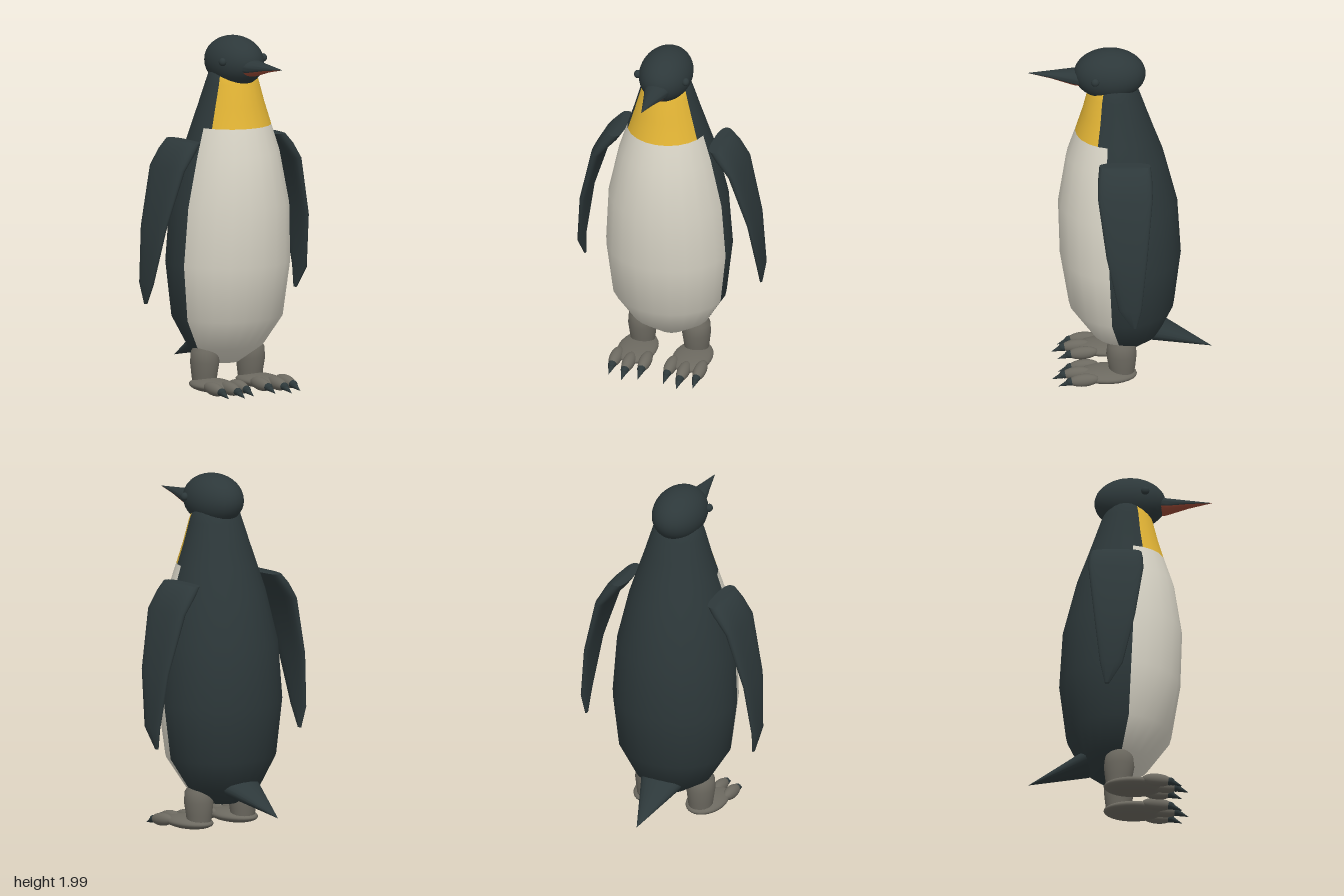
import * as THREE from 'three';
import { toCreasedNormals } from 'three/addons/utils/BufferGeometryUtils.js';

const material = (name, color) => {
  const m = new THREE.MeshStandardMaterial({ color });
  m.name = name;
  return m;
};

// Angles around a section in degrees: 0 = +x, 90 = +z
const EVEN = Array.from({ length: 24 }, (_, i) => i * 15);
const FRONT = [11, 26, 42, 58, 74, 90, 106, 122, 138, 154, 169];
const BODY = [...FRONT, ...Array.from({ length: 13 }, (_, i) => 169 + (i + 1) * 202 / 14)];

// Skins rows of [y, centreX, halfWidth, zFront, zBack], lowest first.
// pick(row, angle) gives the material index of each patch; power < 1 squares the section.
function loft(rows, { angles = EVEN, pick = () => 0, power = 1, crease = 0.9 } = {}) {
  const n = angles.length, pos = [], lists = [];
  const bend = v => Math.sign(v) * Math.abs(v) ** power;
  for (const [y, cx, hx, zf, zb] of rows) {
    for (const deg of angles) {
      const a = THREE.MathUtils.degToRad(deg);
      pos.push(cx + hx * bend(Math.cos(a)), y, (zf + zb) / 2 + (zf - zb) / 2 * bend(Math.sin(a)));
    }
  }
  const last = rows.length - 1, bottom = rows.length * n, top = bottom + 1;
  for (const r of [rows[0], rows[last]]) pos.push(r[1], r[0], (r[3] + r[4]) / 2);
  for (let j = 0; j < n; j++) {
    const k = (j + 1) % n;
    const mid = (angles[j] + (k ? angles[k] : angles[0] + 360)) / 2;
    const add = (row, ...ids) => (lists[pick(row, mid)] ??= []).push(...ids);
    add(0, bottom, j, k);
    for (let i = 0; i < last; i++) {
      const a = i * n + j, b = i * n + k;
      add(i, a, a + n, b, a + n, b + n, b);
    }
    add(last - 1, top, last * n + k, last * n + j);
  }
  const g = new THREE.BufferGeometry();
  g.setAttribute('position', new THREE.Float32BufferAttribute(pos, 3));
  g.setIndex(lists.flat());
  let start = 0;
  lists.forEach((list, m) => {
    g.addGroup(start, list.length, m);
    start += list.length;
  });
  return toCreasedNormals(g, crease);
}

export function createModel() {
  const model = new THREE.Group();
  model.name = 'penguin';
  const dark = material('dark plumage', 0x2d383a);
  const white = material('white belly', 0xd8d4c6);
  const yellow = material('yellow throat', 0xe2b435);
  const red = material('red mouth', 0x9c4a36);
  const grey = material('grey feet', 0x6c6960);

  const add = (name, geometry, mat, parent = model) => {
    const mesh = new THREE.Mesh(geometry, mat);
    mesh.name = name;
    parent.add(mesh);
    return mesh;
  };
  const ellipsoid = (name, [x, y, z], [rx, ry, rz], mat, parent) => {
    const mesh = add(name, new THREE.SphereGeometry(1, 28, 18), mat, parent);
    mesh.position.set(x, y, z);
    mesh.scale.set(rx, ry, rz);
    return mesh;
  };
  // Flattened cone from a base point to a tip
  const spike = (name, from, to, rx, rz, mat, parent) => {
    const a = new THREE.Vector3(...from), d = new THREE.Vector3(...to).sub(a), len = d.length();
    const g = new THREE.ConeGeometry(1, len, 20).translate(0, len / 2, 0).scale(rx, 1, rz);
    const mesh = add(name, g, mat, parent);
    mesh.position.copy(a);
    mesh.rotation.x = Math.atan2(d.z, d.y);
    return mesh;
  };

  // Body: dark back, white belly and yellow throat
  const bodyRows = [
    [0.155, 0, 0.08, 0.04, -0.11],
    [0.25, 0, 0.22, 0.165, -0.22],
    [0.42, 0, 0.32, 0.285, -0.30],
    [0.73, 0, 0.355, 0.335, -0.338],
    [1.06, 0, 0.335, 0.345, -0.318],
    [1.35, 0, 0.272, 0.30, -0.245],
    [1.5, 0, 0.225, 0.25, -0.19],
    [1.62, 0, 0.187, 0.213, -0.148],
    [1.74, 0, 0.152, 0.183, -0.107],
    [1.8, 0, 0.135, 0.16, -0.08],
    [1.86, 0, 0.09, 0.12, -0.04],
  ];
  const bodyColour = (row, a) => {
    if (row < 6) return a > 11 && a < 169 ? 1 : 0;
    return a > 26 && a < 154 ? 2 : 0;
  };
  add('body', loft(bodyRows, { angles: BODY, pick: bodyColour, crease: 1.2 }), [dark, white, yellow]);

  // Head and eyes
  ellipsoid('head', [0, 1.857, 0.057], [0.147, 0.143, 0.2], dark);
  for (const s of [1, -1]) {
    ellipsoid(s > 0 ? 'leftEye' : 'rightEye', [s * 0.14, 1.873, 0.14], [0.02, 0.023, 0.023], dark);
  }

  // Beak: lofted upward, then laid forward so its +z side becomes the red underside
  const beak = add('beak', loft([
    [0.19, 0, 0.078, 0.055, -0.05],
    [0.26, 0, 0.063, 0.045, -0.043],
    [0.38, 0, 0.032, 0.008, -0.033],
    [0.51, 0, 0.001, -0.021, -0.023],
  ], { angles: BODY, pick: (row, a) => (a > 26 && a < 154 ? 1 : 0) }), [dark, red]);
  beak.rotation.x = Math.PI / 2;
  beak.position.y = 1.84;

  // Tail
  spike('tail', [0, 0.257, -0.19], [0, 0.13, -0.51], 0.122, 0.062, dark);

  for (const s of [1, -1]) {
    const side = s > 0 ? 'left' : 'right';

    // Flipper
    add(side + 'Flipper', loft([
      [0.52, s * 0.513, 0.006, -0.06, -0.085],
      [0.64, s * 0.525, 0.015, 0.015, -0.112],
      [0.95, s * 0.489, 0.02, 0.083, -0.145],
      [1.28, s * 0.4, 0.034, 0.13, -0.176],
      [1.37, s * 0.335, 0.05, 0.127, -0.173],
      [1.425, s * 0.292, 0.042, 0.12, -0.165],
    ], { power: 0.75 }), dark);

    // Leg
    add(side + 'Leg', loft([
      [0.04, s * 0.157, 0.065, 0.06, -0.075],
      [0.1, s * 0.157, 0.072, 0.067, -0.083],
      [0.17, s * 0.157, 0.081, 0.08, -0.09],
      [0.23, s * 0.157, 0.077, 0.073, -0.083],
      [0.27, s * 0.157, 0.05, 0.045, -0.055],
    ]), grey);

    // Foot with three clawed toes
    const foot = new THREE.Group();
    foot.name = side + 'Foot';
    model.add(foot);
    ellipsoid('sole', [s * 0.16, 0.048, 0.075], [0.11, 0.038, 0.167], grey, foot);
    for (const t of [-1, 0, 1]) {
      const x = s * 0.16 + t * 0.085, z = t ? 0 : 0.035;
      const toe = ellipsoid('toe', [x, 0.05, 0.205 + z], [0.035, 0.036, 0.085], grey, foot);
      toe.rotation.x = 0.1;
      ellipsoid('clawRoot', [x, 0.042, 0.275 + z], [0.023, 0.022, 0.03], dark, foot);
      spike('claw', [x, 0.04, 0.28 + z], [x, 0.012, 0.347 + z], 0.022, 0.02, dark, foot);
    }
  }
  return model;
}
